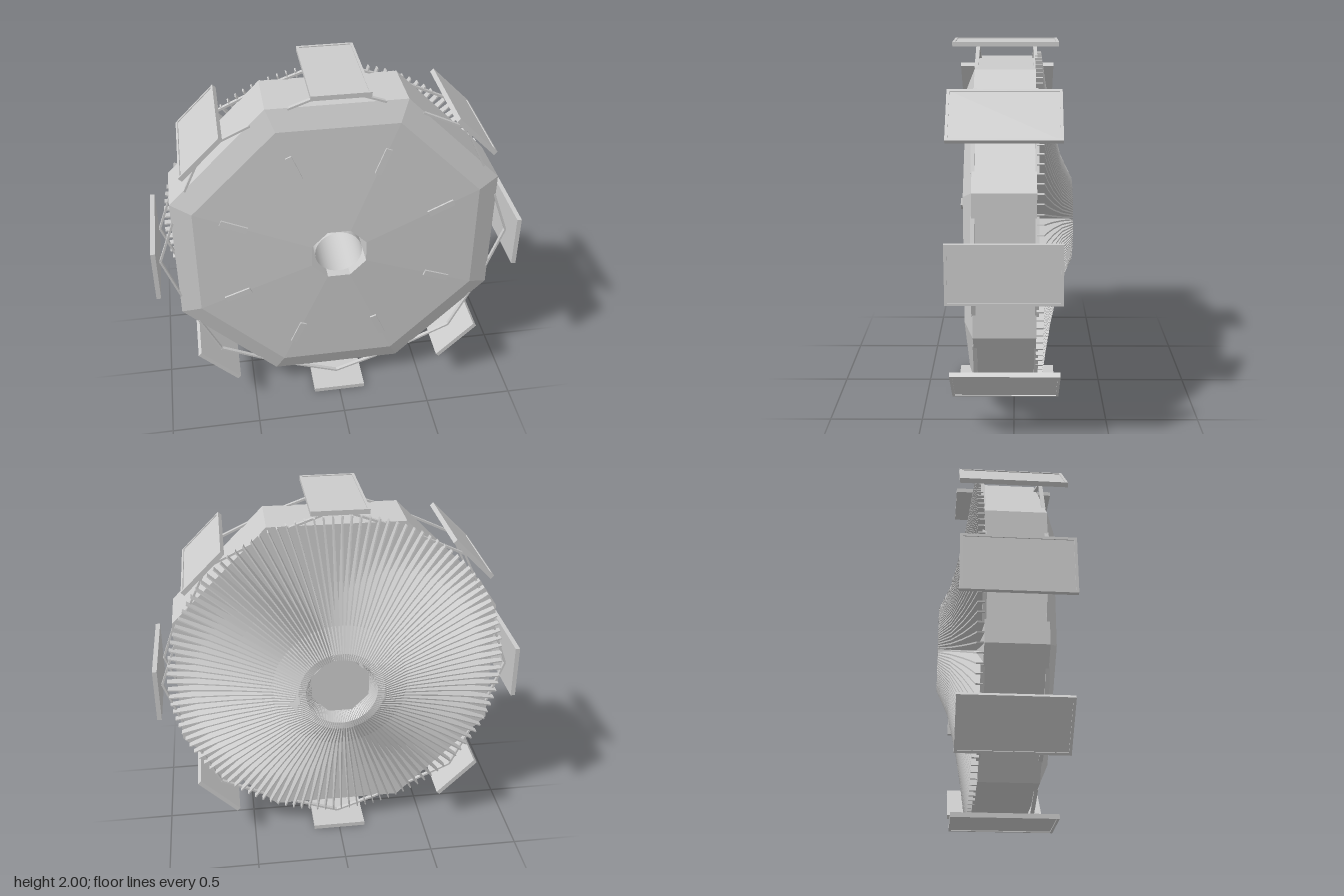
import * as THREE from 'three';
import { mergeGeometries } from 'three/addons/utils/BufferGeometryUtils.js';

const grey = new THREE.MeshStandardMaterial({ color: 0xcccccc, flatShading: true });
const greyThin = new THREE.MeshStandardMaterial({ color: 0xcccccc, side: THREE.DoubleSide });

const SIDES = 8;
const STEP = (Math.PI * 2) / SIDES;
const CORNER = 1 / Math.cos(STEP / 2); // flat distance -> corner distance

function add(parent, name, geometry, material = grey) {
  const mesh = new THREE.Mesh(geometry, material);
  mesh.name = name;
  parent.add(mesh);
  return mesh;
}

// Eight-sided ring around z, profile given as [distance to flat, z]
function octagonLathe(profile) {
  const points = profile.map(([r, z]) => new THREE.Vector2(r * CORNER, z));
  return new THREE.LatheGeometry(points, SIDES, STEP / 2).rotateX(Math.PI / 2);
}

// Flat bar between two points of the xy plane
function bar(a, b, width, depth, z) {
  const d = b.clone().sub(a);
  return new THREE.BoxGeometry(d.length(), width, depth)
    .rotateZ(Math.atan2(d.y, d.x))
    .translate((a.x + b.x) / 2, (a.y + b.y) / 2, z);
}

// Framed plate and its two V braces, made for the top flat
function panelUnit() {
  const unit = new THREE.Group();
  const w = 0.3, l = 0.56, z = 0.045, lip = 0.014;
  add(unit, 'panelPlate', new THREE.BoxGeometry(w, 0.02, l).translate(0, 0.985, z));
  const frame = [];
  for (const s of [-1, 1]) {
    frame.push(new THREE.BoxGeometry(lip, 0.025, l).translate(s * (w - lip) / 2, 0.9875, z));
    frame.push(new THREE.BoxGeometry(w - 2 * lip, 0.025, lip).translate(0, 0.9875, z + s * (l - lip) / 2));
  }
  add(unit, 'panelFrame', mergeGeometries(frame));
  const braces = [];
  for (const bz of [0.195, -0.112]) {
    for (const s of [-1, 1]) {
      braces.push(bar(new THREE.Vector2(0, 0.962), new THREE.Vector2(s * 0.25, 0.872), 0.011, 0.02, bz));
    }
  }
  add(unit, 'panelBraces', mergeGeometries(braces));
  return unit;
}

// Thin radial blades with a flared profile rising to the crater edge
function coolingFins(count) {
  const thickness = 0.0075;
  const profile = [
    [0.168, -0.11], [0.935, -0.11], [0.935, -0.145], [0.78, -0.168], [0.6, -0.2],
    [0.37, -0.255], [0.235, -0.32], [0.195, -0.32], [0.168, -0.25],
  ];
  const shape = new THREE.Shape(profile.map(([r, z]) => new THREE.Vector2(r, z)));
  const fin = new THREE.ExtrudeGeometry(shape, { depth: thickness, bevelEnabled: false })
    .translate(0, 0, -thickness / 2)
    .rotateX(Math.PI / 2);
  const fins = [];
  for (let i = 0; i < count; i++) fins.push(fin.clone().rotateZ(((i + 0.5) / count) * Math.PI * 2));
  return mergeGeometries(fins);
}

export function createModel() {
  const root = new THREE.Group();
  const wheel = new THREE.Group();
  wheel.name = 'wheel';
  wheel.position.y = 1;
  root.add(wheel);

  // Octagonal body with sloped front and open centre
  add(wheel, 'body', octagonLathe([
    [0.15, -0.11], [0.88, -0.11], [0.88, 0.2], [0.77, 0.245], [0.15, 0.28], [0.15, -0.11],
  ]));

  // Round sleeve in the opening, closed by an octagonal plate at the back
  add(wheel, 'centreSleeve',
    new THREE.CylinderGeometry(0.13, 0.13, 0.5, 32, 1, true).rotateX(Math.PI / 2).translate(0, 0, 0.01), greyThin);
  add(wheel, 'backPlate',
    new THREE.CircleGeometry(0.157 * CORNER, SIDES, STEP / 2).rotateY(Math.PI).translate(0, 0, -0.25));

  add(wheel, 'coolingFins', coolingFins(120));

  for (let i = 0; i < SIDES; i++) {
    const unit = panelUnit();
    unit.name = 'panelUnit';
    unit.rotation.z = i * STEP;
    wheel.add(unit);

    // Raised strip along each front ridge
    const strip = new THREE.BoxGeometry(0.15, 0.035, 0.024)
      .rotateY(0.052)
      .translate(0.605, 0, 0.255)
      .rotateZ((i + 0.5) * STEP);
    add(wheel, 'frontStrip', strip);
  }
  return root;
}
